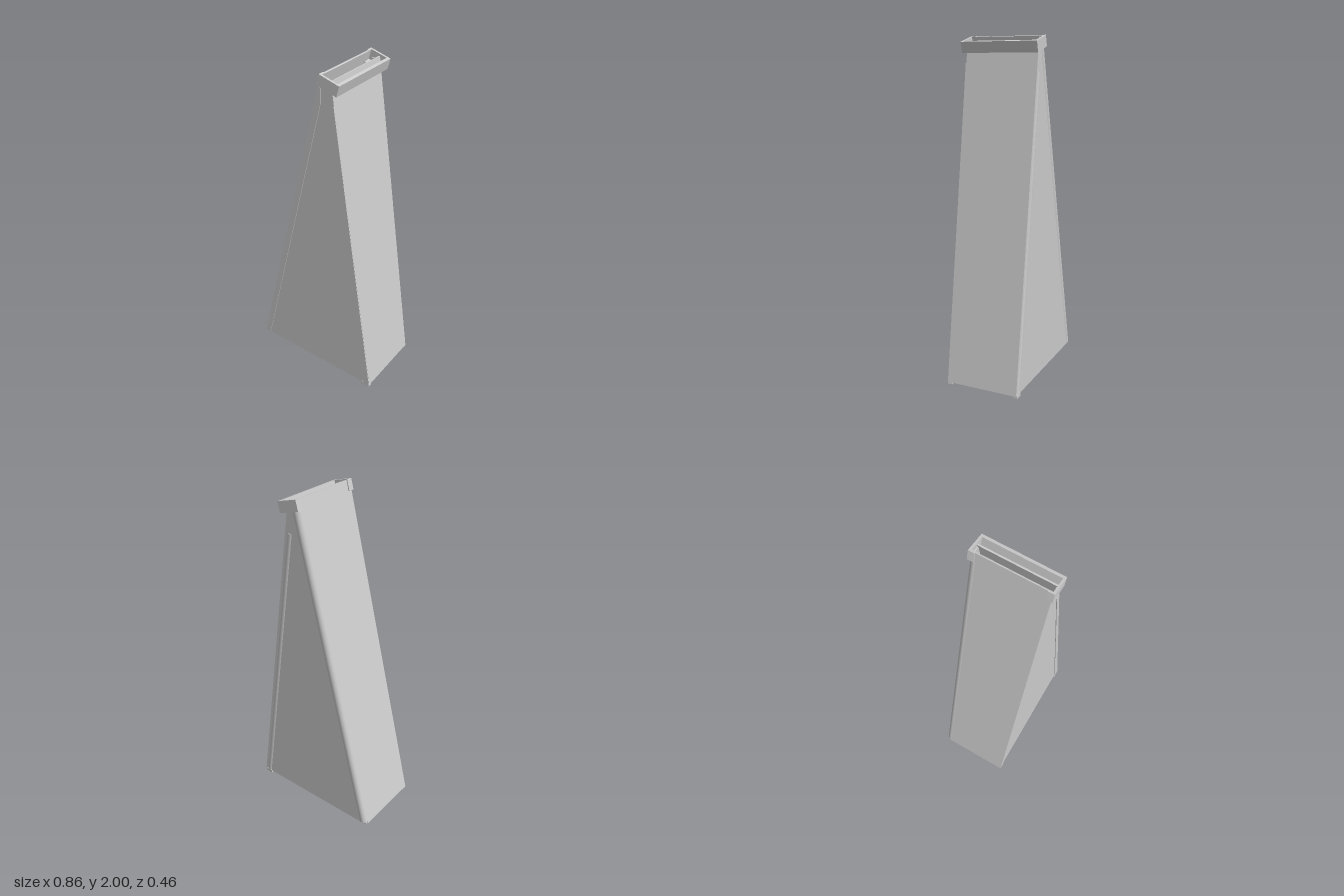
import * as THREE from 'three';

const material = new THREE.MeshStandardMaterial({ color: 0xcccccc });

// Slab with an outline in the xy plane, spanning z0 to z1
function slab(name, points, z0, z1) {
  const shape = new THREE.Shape(points.map(([x, y]) => new THREE.Vector2(x, y)));
  const geometry = new THREE.ExtrudeGeometry(shape, { depth: z1 - z0, bevelEnabled: false });
  geometry.translate(0, 0, z0);
  const mesh = new THREE.Mesh(geometry, material);
  mesh.name = name;
  return mesh;
}

// Smooth rod between two points
function rod(name, a, b, radius) {
  const from = new THREE.Vector3(...a), to = new THREE.Vector3(...b);
  const dir = to.clone().sub(from);
  const mesh = new THREE.Mesh(new THREE.CylinderGeometry(radius, radius, dir.length(), 24), material);
  mesh.position.copy(from).add(to).multiplyScalar(0.5);
  mesh.quaternion.setFromUnitVectors(new THREE.Vector3(0, 1, 0), dir.normalize());
  mesh.name = name;
  return mesh;
}

function box(name, size, position) {
  const mesh = new THREE.Mesh(new THREE.BoxGeometry(...size), material);
  mesh.position.set(...position);
  mesh.name = name;
  return mesh;
}

export function createModel() {
  const model = new THREE.Group();
  model.name = 'taperedDuct';
  const floorY = 0.015;

  // Long sloping panels, both reaching up into the mouth
  model.add(slab('slopingPanel',
    [[-0.43, floorY], [-0.42, floorY], [0.079, 1.995], [0.07, 1.998]], -0.197, 0.219));
  model.add(slab('steepPanel',
    [[0.415, floorY], [0.425, floorY], [0.15, 1.85], [0.132, 1.97], [0.124, 1.97], [0.14, 1.85]], -0.219, 0.219));

  // Floor
  model.add(slab('floor', [[-0.425, floorY], [0.42, floorY], [0.42, 0.025], [-0.423, 0.025]], -0.215, 0.219));

  // Triangular side plates; the back one stops short of its rounded edge
  const sidePlate = (name, inset, z0, z1) => slab(name,
    [[-0.43 + inset, floorY], [0.424, floorY], [0.15, 1.85], [0.134, 1.955],
      [0.06 + inset, 1.955]], z0, z1);
  model.add(sidePlate('frontPlate', 0, 0.212, 0.219));
  model.add(sidePlate('backPlate', 0.02, -0.219, -0.212));

  // Rounded seams along the back edges
  const r = 0.028;
  model.add(rod('roundedEdge', [-0.4, 0.022, -0.197], [0.082, 1.935, -0.197], r));
  model.add(rod('roundedSeam', [0.39, 0.022, -0.2], [0.125, 1.8, -0.2], 0.024));

  // Flat lapped seams on the front edges
  model.add(slab('frontSeam',
    [[-0.43, floorY], [-0.392, floorY], [0.068, 1.84], [0.066, 1.94], [0.056, 1.94]], 0.19, 0.223));
  model.add(slab('frontSeam',
    [[0.385, 0.005], [0.425, 0.005], [0.15, 1.85], [0.13, 1.83]], 0.2, 0.223));

  // Small feet under the steep edge
  for (const z of [-0.21, 0.21]) model.add(box('foot', [0.05, 0.02, 0.026], [0.395, 0.01, z]));

  // Tilted collar around the open mouth
  const collar = new THREE.Group();
  collar.name = 'collar';
  collar.position.set(0.12, 1.9525, 0);
  collar.rotation.z = -0.27;
  const w = 0.13, h = 0.063;
  collar.add(box('collarWall', [0.018, h, 0.464], [w / 2 - 0.009, 0, 0]));
  collar.add(box('collarLedge', [0.03, 0.008, 0.44], [w / 2 - 0.015, -h / 2 + 0.004, 0]));
  for (const s of [-1, 1]) {
    collar.add(box('collarEnd', [w, h, 0.013], [0, 0, s * 0.2255]));
    collar.add(box('collarLip', [0.012, h, 0.037], [-w / 2 + 0.006, 0, s * 0.2135]));
  }
  model.add(collar);

  return model;
}
